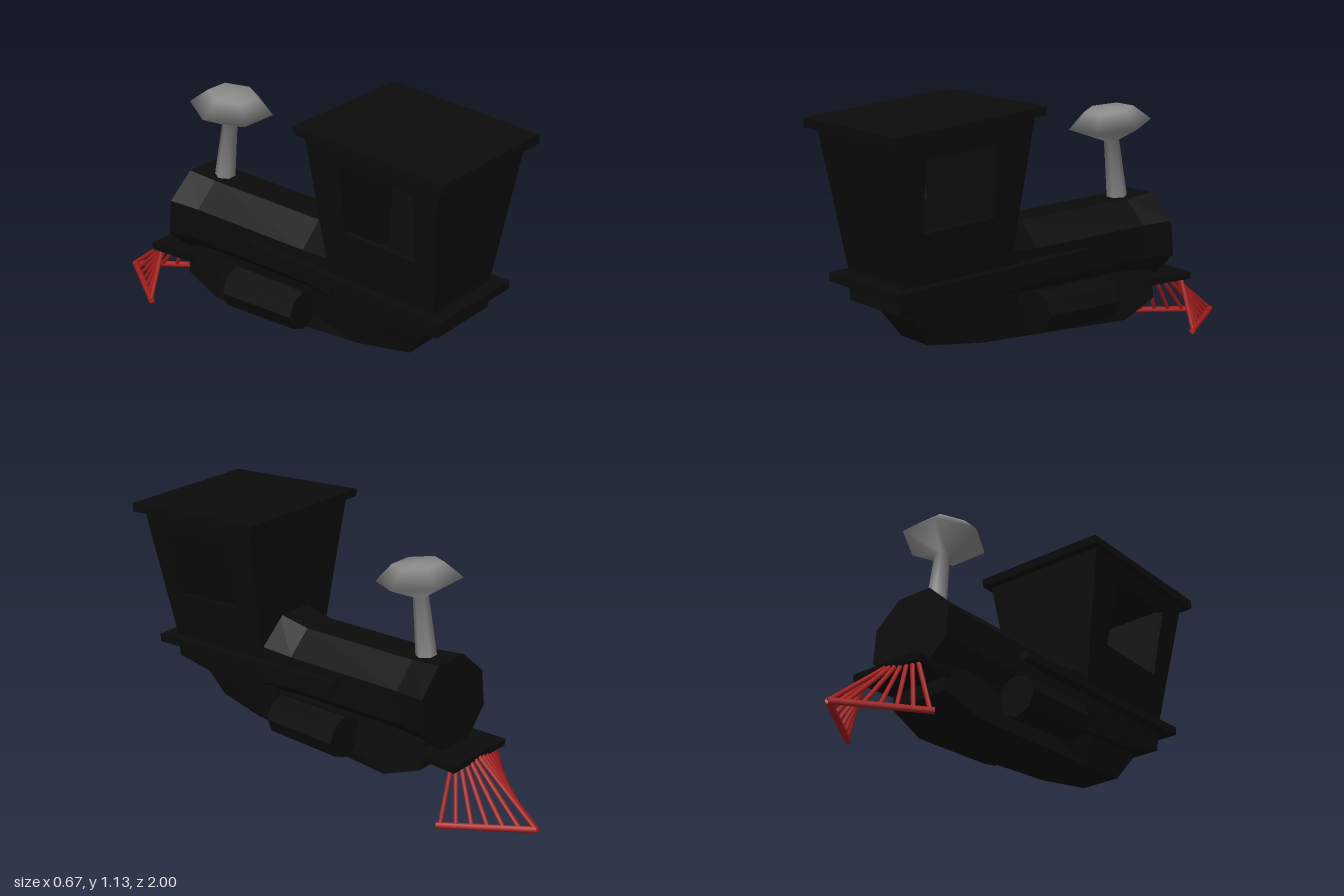
import * as THREE from 'three';

const black = new THREE.MeshStandardMaterial({ color: 0x0b0b0b });
black.name = 'black iron';
const grey = new THREE.MeshStandardMaterial({ color: 0x8a8a8a });
grey.name = 'grey steel';
const red = new THREE.MeshStandardMaterial({ color: 0xa81e1e });
red.name = 'red paint';

// Capped, flat-faced solid through loops of points ordered towards +z
function loft(sections) {
  const pos = [];
  const tri = (a, b, c) => pos.push(...a, ...b, ...c);
  const n = sections[0].length;
  for (let s = 0; s < sections.length - 1; s++) {
    const a = sections[s], b = sections[s + 1];
    for (let i = 0; i < n; i++) {
      const j = (i + 1) % n;
      tri(a[i], a[j], b[j]);
      tri(a[i], b[j], b[i]);
    }
  }
  const first = sections[0], last = sections[sections.length - 1];
  for (let i = 1; i < n - 1; i++) {
    tri(first[0], first[i + 1], first[i]);
    tri(last[0], last[i], last[i + 1]);
  }
  const g = new THREE.BufferGeometry();
  g.setAttribute('position', new THREE.Float32BufferAttribute(pos, 3));
  g.computeVertexNormals();
  return g;
}

// Four-cornered section: bottom and top z, y and half width
const quad = (zb, zt, yb, yt, wb, wt = wb) =>
  [[-wb, yb, zb], [wb, yb, zb], [wt, yt, zt], [-wt, yt, zt]];

// Eight-sided section, flat on top, leaning by tilt
const octagon = (z, y, rx, ry, tilt) => Array.from({ length: 8 }, (_, i) => {
  const a = (i + 0.5) * Math.PI / 4, c = Math.cos(Math.PI / 8);
  return [rx * Math.cos(a) / c, y + ry * Math.sin(a) / c, z + tilt * Math.sin(a) / c];
});

// Round bar between two points
function bar(a, b, r) {
  const d = b.clone().sub(a);
  const g = new THREE.CylinderGeometry(r, r, d.length(), 6);
  const m = new THREE.Mesh(g, red);
  m.position.copy(a).addScaledVector(d, 0.5);
  m.quaternion.setFromUnitVectors(new THREE.Vector3(0, 1, 0), d.normalize());
  return m;
}

// Cab walls spread outwards with height
const cabHalf = y => 0.205 + (y - 0.48) * 0.17;

// Windowed cab side, sheared to follow the spread
function cabSide(side) {
  const t = 0.025;
  const pts = list => list.map(p => new THREE.Vector2(...p));
  const shape = new THREE.Shape(pts([[0.885, 0.45], [0.96, 1.06], [0.31, 1.11], [0.355, 0.45]]));
  shape.holes.push(new THREE.Path(pts([[0.815, 0.665], [0.46, 0.69], [0.48, 1.0], [0.83, 0.975]])));
  const g = new THREE.ExtrudeGeometry(shape, { depth: t, bevelEnabled: false });
  g.rotateY(-Math.PI / 2);
  const p = g.attributes.position;
  for (let i = 0; i < p.count; i++) {
    const h = cabHalf(p.getY(i));
    p.setX(i, p.getX(i) + (side > 0 ? h : t - h));
  }
  g.computeVertexNormals();
  return g;
}

export function createModel() {
  const model = new THREE.Group();
  const add = (name, geometry, material = black) => {
    const m = new THREE.Mesh(geometry, material);
    m.name = name;
    model.add(m);
    return m;
  };

  // Boiler, flared at the nose and at the cab
  add('boiler', loft([
    octagon(-0.547, 0.457, 0.205, 0.188, 0.017),
    octagon(-0.4, 0.455, 0.187, 0.176, 0.012),
    octagon(0.2, 0.44, 0.185, 0.175, 0),
    octagon(0.36, 0.44, 0.2, 0.205, 0),
  ]));

  // Chassis hull under the boiler
  add('chassis', loft([
    quad(-0.49, -0.495, 0.18, 0.3, 0.15, 0.13),
    quad(-0.31, -0.31, 0.11, 0.32, 0.165, 0.13),
    quad(0.45, 0.45, 0.135, 0.32, 0.13, 0.15),
    quad(0.7, 0.7, 0.16, 0.3, 0.095, 0.125),
    quad(0.79, 0.79, 0.28, 0.295, 0.12, 0.12),
  ]));

  // Cab
  add('cabBase', loft([
    quad(0.3, 0.3, 0.27, 0.48, 0.17, 0.2),
    quad(0.68, 0.68, 0.29, 0.48, 0.17, 0.2),
    quad(0.895, 0.888, 0.33, 0.48, 0.18, 0.205),
  ]));
  for (const s of [1, -1]) add(s > 0 ? 'cabSideLeft' : 'cabSideRight', cabSide(s));
  add('cabRearWall', loft([
    quad(0.865, 0.935, 0.45, 1.06, cabHalf(0.45), cabHalf(1.06)),
    quad(0.887, 0.96, 0.45, 1.06, cabHalf(0.45), cabHalf(1.06)),
  ]));
  add('cabFrontWall', loft([
    quad(0.355, 0.31, 0.45, 1.11, cabHalf(0.45), cabHalf(1.11)),
    quad(0.38, 0.335, 0.45, 1.11, cabHalf(0.45), cabHalf(1.11)),
  ]));
  add('roof', loft([
    quad(0.275, 0.27, 1.1, 1.135, 0.335),
    quad(1.0, 1.0, 1.04, 1.08, 0.335),
  ]));

  // Running board rising and narrowing towards the nose
  add('runningBoard', loft([
    quad(-0.07, -0.07, 0.445, 0.48, 0.225),
    quad(0.95, 0.95, 0.405, 0.442, 0.25),
  ]));

  // Steam cylinders on each side
  for (const s of [1, -1]) {
    const g = new THREE.CylinderGeometry(0.088, 0.095, 0.37, 8).toNonIndexed();
    g.computeVertexNormals();
    g.rotateX(Math.PI / 2);
    add(s > 0 ? 'steamCylinderLeft' : 'steamCylinderRight', g).position.set(s * 0.22, 0.25, 0.045);
  }

  // Nose deck
  add('noseDeck', loft([
    quad(-0.69, -0.695, 0.24, 0.272, 0.175),
    quad(-0.47, -0.47, 0.24, 0.275, 0.16),
  ]));

  // Six-sided smokestack with a spreading cap
  const profile = [[0.048, -0.03], [0.034, 0.27], [0.185, 0.342], [0.11, 0.412], [0, 0.42]]
    .map(p => new THREE.Vector2(...p));
  const stack = add('smokestack', new THREE.LatheGeometry(profile, 6, Math.PI / 6), grey);
  stack.position.set(0, 0.62, -0.4);
  stack.rotation.x = 0.13;

  // Pilot: V-shaped rail with slats fanning down from the deck
  const pilot = new THREE.Group();
  pilot.name = 'pilot';
  const tip = new THREE.Vector3(0, 0.014, -0.988);
  for (const s of [1, -1]) {
    const end = new THREE.Vector3(s * 0.237, 0.014, -0.65);
    pilot.add(bar(tip, end, 0.014));
    for (let i = s > 0 ? 0 : 1; i <= 6; i++) {
      const t = i / 6;
      const foot = tip.clone().lerp(end, t * 0.96);
      const top = new THREE.Vector3(s * 0.148 * t, 0.255, -0.685 + 0.03 * t);
      pilot.add(bar(foot, top, 0.01));
    }
  }
  model.add(pilot);

  return model;
}
